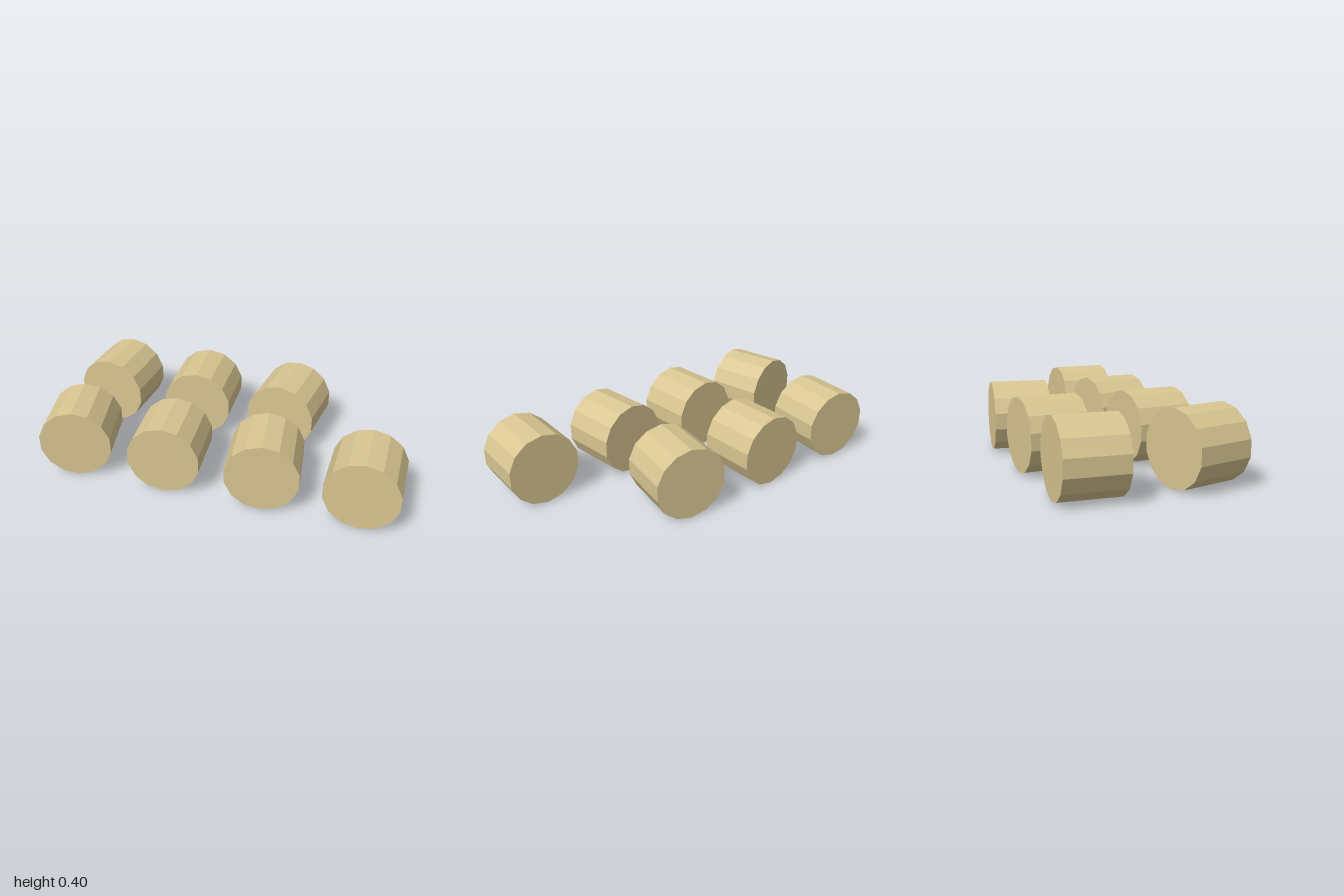
import * as THREE from 'three';

export function createModel() {
  const model = new THREE.Group();
  model.name = 'hayBales';

  const straw = new THREE.MeshStandardMaterial({ color: 0xd8c591, flatShading: true });
  straw.name = 'straw';

  // Fourteen-sided round bale lying on its side, with its axis along z
  const radius = 0.1975, length = 0.315;
  const baleShape = new THREE.CylinderGeometry(radius, radius, length, 14).rotateX(Math.PI / 2);

  // Two loose rows; each bale is turned a little by hand
  const firstX = -0.779, spacing = 0.527;
  const rows = [
    { name: 'backBale', z: -0.299, turns: [-0.075, 0.04, -0.14] },
    { name: 'frontBale', z: 0.281, turns: [0.22, 0.08, 0.13, -0.01] },
  ];
  for (const row of rows) {
    row.turns.forEach((turn, i) => {
      const bale = new THREE.Mesh(baleShape, straw);
      bale.name = row.name + (i + 1);
      bale.position.set(firstX + i * spacing, radius, row.z);
      bale.rotation.y = turn;
      model.add(bale);
    });
  }
  return model;
}
